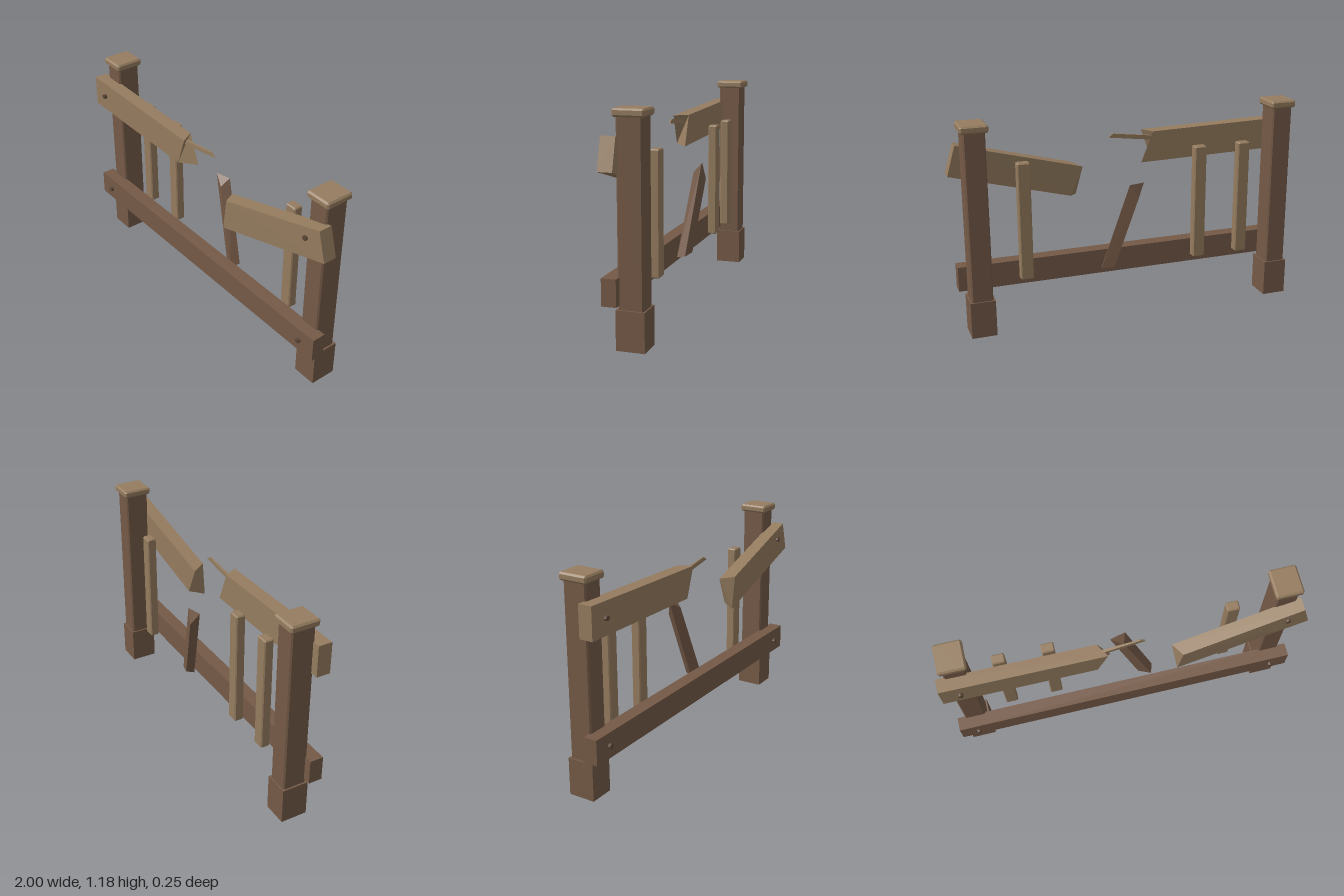
import * as THREE from 'three';
import { ConvexGeometry } from 'three/addons/geometries/ConvexGeometry.js';

const mat = (name, color) => Object.assign(new THREE.MeshStandardMaterial({ color }), { name });

// Box with every edge cut at 45 degrees
function chamferBox(w, h, d, c) {
  const pts = [];
  for (const x of [-w / 2, w / 2]) for (const y of [-h / 2, h / 2]) for (const z of [-d / 2, d / 2]) {
    const ix = x - Math.sign(x) * c, iy = y - Math.sign(y) * c, iz = z - Math.sign(z) * c;
    pts.push(new THREE.Vector3(x, iy, iz), new THREE.Vector3(ix, y, iz), new THREE.Vector3(ix, iy, z));
  }
  return new ConvexGeometry(pts);
}

// Plank between two four-cornered ends; each end lists its corners
// counter-clockwise as seen from outside end B
function plank(a, b) {
  const v = [];
  const tri = (...p) => p.forEach((q) => v.push(...q));
  for (let i = 0; i < 4; i++) {
    const j = (i + 1) % 4;
    tri(a[i], a[j], b[j]);
    tri(a[i], b[j], b[i]);
  }
  tri(b[0], b[1], b[2]);
  tri(b[0], b[2], b[3]);
  tri(a[0], a[2], a[1]);
  tri(a[0], a[3], a[2]);
  const g = new THREE.BufferGeometry();
  g.setAttribute('position', new THREE.Float32BufferAttribute(v, 3));
  g.computeVertexNormals();
  return g;
}

export function createModel() {
  const model = new THREE.Group();
  model.name = 'brokenFence';
  const paleWood = mat('paleWood', 0x957c5f);
  const darkWood = mat('darkWood', 0x755a47);
  const iron = mat('boltBrown', 0x5c4737);

  const add = (name, geometry, material, x = 0, y = 0, z = 0, parent = model) => {
    const m = new THREE.Mesh(geometry, material);
    m.name = name;
    m.position.set(x, y, z);
    parent.add(m);
    return m;
  };

  // Posts with foot, shaft and cap
  for (const [side, x] of [['right', -0.896], ['left', 0.87]]) {
    const post = new THREE.Group();
    post.name = side + 'Post';
    post.position.set(x, 0, -0.036);
    model.add(post);
    add('postFoot', new THREE.BoxGeometry(0.138, 0.206, 0.15), darkWood, 0, 0.103, 0, post);
    add('postShaft', chamferBox(0.118, 0.96, 0.134, 0.008), darkWood, 0, 0.675, 0, post);
    add('postCap', chamferBox(0.15, 0.041, 0.164, 0.009), paleWood, 0, 1.1605, 0, post);

    // Bolts holding the rails to the post
    for (const y of [0.3, 0.97]) {
      const bolt = add('bolt', new THREE.CylinderGeometry(0.014, 0.014, 0.022, 8).toNonIndexed(), iron, x, y, 0.102);
      bolt.geometry.computeVertexNormals();
      bolt.rotation.x = Math.PI / 2;
    }
  }

  // Lower rail
  add('lowerRail', new THREE.BoxGeometry(1.975, 0.14, 0.077), darkWood, -0.0125, 0.3, 0.0585);

  // Upright balusters
  for (const x of [-0.672, -0.405, 0.613])
    add('baluster', chamferBox(0.071, 0.66, 0.053, 0.006), paleWood, x, 0.622, -0.058);

  // Upper rail, long half, snapped at its inner end
  add('upperRailLong', plank(
    [[-1, 0.88, 0.097], [-1, 0.88, 0.02], [-1, 1.055, 0.02], [-1, 1.055, 0.097]],
    [[-0.17, 0.867, 0.097], [-0.085, 0.863, 0.02], [-0.155, 1.036, 0.02], [-0.11, 1.035, 0.097]],
  ), paleWood);

  // Upper rail, short half, sagging forward
  add('upperRailShort', plank(
    [[0.27, 0.688, 0.125], [0.32, 0.702, 0.047], [0.25, 0.864, 0.05], [0.295, 0.876, 0.127]],
    [[1, 0.888, 0.097], [1, 0.888, 0.02], [0.953, 1.053, 0.02], [0.953, 1.053, 0.097]],
  ), paleWood);

  // Splinter sticking out of the snapped rail
  add('splinter', plank(
    [[-0.16, 0.982, 0.064], [-0.16, 0.982, 0.046], [-0.16, 1.006, 0.046], [-0.16, 1.006, 0.064]],
    [[0.1, 1.016, 0.054], [0.1, 1.016, 0.046], [0.07, 1.036, 0.046], [0.07, 1.036, 0.054]],
  ), paleWood);

  // Leaning baluster with a jagged top
  add('brokenBaluster', plank(
    [[0.095, 0.29, -0.044], [0.167, 0.28, -0.016], [0.185, 0.29, -0.068], [0.113, 0.3, -0.088]],
    [[-0.06, 0.78, -0.09], [0.012, 0.735, -0.062], [0.03, 0.78, -0.112], [-0.015, 0.698, -0.126]],
  ), darkWood);

  return model;
}
